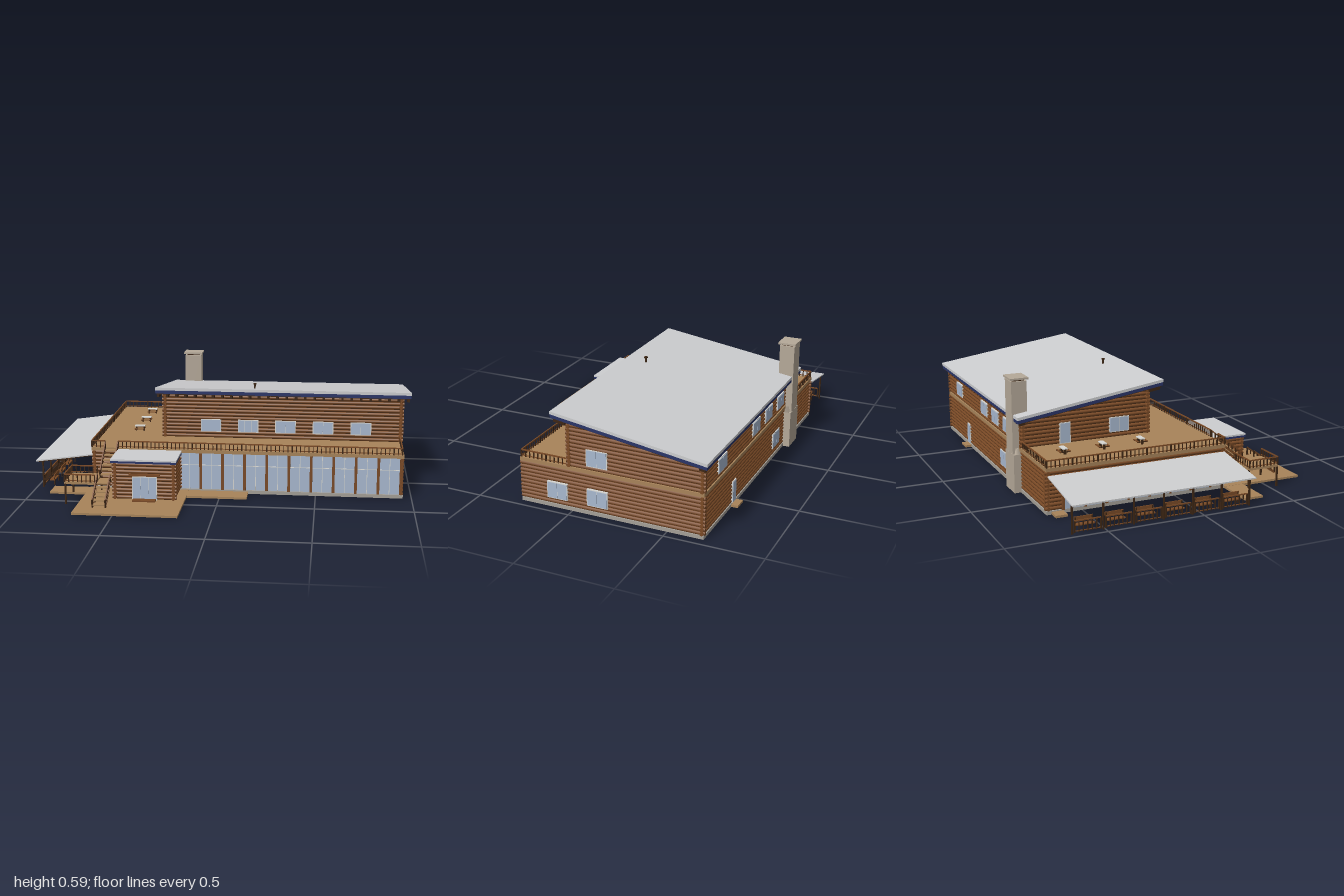
import * as THREE from 'three';

const mat = (name, color) => Object.assign(new THREE.MeshStandardMaterial({ color }), { name });
const LOG = mat('log brown', 0x7a4a26), DARK = mat('dark wood', 0x3d2614), DECK = mat('deck tan', 0xa8845a),
  GLASS = mat('window glass', 0xa9b9d0), ROOF = mat('roof grey', 0xcdced0), BLUE = mat('fascia blue', 0x2a3568),
  STONE = mat('chimney stone', 0xb5a999), FRAME = mat('frame white', 0xd8d8d4), SLAB = mat('foundation grey', 0xa5a098);

function add(parent, name, geo, material) {
  const m = new THREE.Mesh(geo, material);
  m.name = name;
  parent.add(m);
  return m;
}
// box given by its limits
function box(parent, name, material, x0, x1, y0, y1, z0, z1) {
  const m = add(parent, name, new THREE.BoxGeometry(x1 - x0, y1 - y0, z1 - z0), material);
  m.position.set((x0 + x1) / 2, (y0 + y1) / 2, (z0 + z1) / 2);
  return m;
}
// square bar from point a to point b
function bar(parent, name, material, a, b, t) {
  const p = new THREE.Vector3(...a), q = new THREE.Vector3(...b);
  const m = add(parent, name, new THREE.BoxGeometry(t, t, p.distanceTo(q)), material);
  m.position.copy(p).lerp(q, 0.5);
  m.lookAt(q);
  return m;
}
// side profile of [z, y] points extruded from x0 to x1
function prism(parent, name, material, pts, x0, x1) {
  const shape = new THREE.Shape(pts.map(([z, y]) => new THREE.Vector2(-z, y)));
  const geo = new THREE.ExtrudeGeometry(shape, { depth: x1 - x0, bevelEnabled: false });
  geo.rotateY(Math.PI / 2).translate(x0, 0, 0);
  return add(parent, name, geo, material);
}
// stacked round logs; limits(y) returns [from, to] along the axis
function logWall(parent, name, axis, fixed, y0, y1, limits) {
  const g = new THREE.Group();
  g.name = name;
  parent.add(g);
  const n = Math.round((y1 - y0) / 0.02), pitch = (y1 - y0) / n;
  for (let i = 0; i < n; i++) {
    const y = y0 + (i + 0.5) * pitch, [a, b] = limits(y);
    if (b - a < 0.03) continue;
    const geo = new THREE.CylinderGeometry(0.0092, 0.0092, b - a, 10);
    if (axis === 'x') geo.rotateZ(Math.PI / 2); else geo.rotateX(Math.PI / 2);
    const m = add(g, 'log', geo, LOG);
    if (axis === 'x') m.position.set((a + b) / 2, y, fixed); else m.position.set(fixed, y, (a + b) / 2);
  }
}
// framed window or door, facing +z before the turn
function opening(parent, name, x, y, z, turn, w, h, panes = 2) {
  const g = new THREE.Group();
  g.name = name;
  box(g, 'frame', FRAME, -w / 2, w / 2, -h / 2, h / 2, -0.012, 0.012);
  const pw = (w - 0.006) / panes;
  for (let i = 0; i < panes; i++) {
    const a = -w / 2 + 0.003 + i * pw;
    box(g, 'pane', GLASS, a + 0.001, a + pw - 0.001, -h / 2 + 0.004, h / 2 - 0.004, 0.012, 0.014);
  }
  g.position.set(x, y, z);
  g.rotation.y = turn;
  parent.add(g);
}
// railing with balusters; a and b are foot points
function railing(parent, name, a, b, h = 0.036, step = 0.022) {
  const g = new THREE.Group();
  g.name = name;
  parent.add(g);
  const up = (p, d) => [p[0], p[1] + d, p[2]];
  bar(g, 'handrail', LOG, up(a, h), up(b, h), 0.006);
  bar(g, 'lowerRail', LOG, up(a, 0.007), up(b, 0.007), 0.004);
  const n = Math.max(1, Math.round(Math.hypot(b[0] - a[0], b[2] - a[2]) / step));
  for (let i = 0; i <= n; i++) {
    const p = a.map((v, k) => v + (b[k] - v) * i / n), t = i % 6 ? 0.0045 : 0.007;
    box(g, 'baluster', DARK, p[0] - t / 2, p[0] + t / 2, p[1], p[1] + h, p[2] - t / 2, p[2] + t / 2);
  }
}

export function createModel() {
  const root = new THREE.Group();
  root.name = 'logLodge';
  const Q = Math.PI / 2;

  // foundation and ground decks
  box(root, 'foundation', SLAB, -0.69, 0.955, 0, 0.018, -0.685, 0.282);
  box(root, 'entranceDeck', DECK, -0.705, -0.17, 0.002, 0.013, 0.28, 0.72);
  box(root, 'frontDeck', DECK, -0.9, 0.145, 0.001, 0.012, 0.281, 0.385);
  box(root, 'backStep', DECK, 0.53, 0.6, 0.002, 0.014, -0.72, -0.685);
  box(root, 'sideStep', DECK, -0.75, -0.69, 0.002, 0.014, -0.66, -0.6);

  // ground floor
  box(root, 'groundCore', DARK, -0.68, 0.945, 0.018, 0.216, -0.675, 0.266);
  logWall(root, 'leftGroundWall', 'z', 0.946, 0.018, 0.216, () => [-0.69, 0.285]);
  logWall(root, 'rightGroundWall', 'z', -0.68, 0.018, 0.216, () => [-0.69, 0.285]);
  logWall(root, 'backGroundWall', 'x', -0.675, 0.018, 0.216, () => [-0.693, 0.96]);
  logWall(root, 'frontGroundWall', 'x', 0.267, 0.018, 0.216, () => [-0.693, -0.21]);
  box(root, 'upperDeck', DECK, -0.693, 0.955, 0.216, 0.234, -0.686, 0.284);

  // glazed front with posts
  box(root, 'frontGlazing', GLASS, -0.215, 0.94, 0.018, 0.216, 0.266, 0.272);
  box(root, 'frontTransom', FRAME, -0.215, 0.94, 0.148, 0.151, 0.27, 0.274);
  for (let i = 0; i <= 10; i++) {
    const x = -0.225 + i * 0.1167;
    box(root, 'frontPost', LOG, x - 0.007, x + 0.007, 0.012, 0.216, 0.265, 0.281);
    if (i < 10) box(root, 'frontMullion', FRAME, x + 0.0565, x + 0.0595, 0.018, 0.216, 0.27, 0.274);
  }
  // glazed side under the lean-to
  box(root, 'sideGlazing', GLASS, -0.694, -0.688, 0.02, 0.17, -0.6, 0.2);
  for (let i = 0; i <= 7; i++) {
    const z = -0.6 + i * 0.8 / 7;
    box(root, 'sidePost', LOG, -0.699, -0.685, 0.018, 0.18, z - 0.006, z + 0.006);
  }

  // upper floor under the single-pitch roof
  const under = z => 0.477 + 0.151 * z;
  prism(root, 'upperCore', DARK, [[0.01, 0.234], [0.01, under(0.01)], [-0.675, under(-0.675)], [-0.675, 0.234]], -0.335, 0.945);
  const slopeLimits = y => [Math.max(-0.69, (y + 0.006 - 0.477) / 0.151), 0.028];
  logWall(root, 'leftUpperWall', 'z', 0.946, 0.234, 0.478, slopeLimits);
  logWall(root, 'rightUpperWall', 'z', -0.336, 0.234, 0.478, slopeLimits);
  logWall(root, 'frontUpperWall', 'x', 0.011, 0.234, 0.474, () => [-0.352, 0.962]);
  logWall(root, 'backUpperWall', 'x', -0.675, 0.234, 0.374, () => [-0.352, 0.962]);

  // main roof: covering, fascia, soffit and rafters
  const layer = (name, m, top, bottom, zf, zb, x0, x1) => prism(root, name, m,
    [[zf, top + 0.148 * zf], [zf, bottom + 0.148 * zf], [zb, bottom + 0.148 * zb], [zb, top + 0.148 * zb]], x0, x1);
  layer('roofCovering', ROOF, 0.51, 0.495, 0.086, -0.713, -0.38, 0.995);
  layer('roofFascia', BLUE, 0.495, 0.477, 0.085, -0.711, -0.378, 0.993);
  layer('soffit', DARK, 0.477, 0.473, 0.08, -0.706, -0.373, 0.988);
  for (let i = 0; i < 28; i++) {
    const x = -0.365 + i * 0.0498;
    layer('frontRafter', DARK, 0.474, 0.458, 0.073, 0.012, x - 0.006, x + 0.006);
    layer('backRafter', DARK, 0.474, 0.462, -0.67, -0.7, x - 0.006, x + 0.006);
  }
  box(root, 'roofVent', DARK, 0.151, 0.159, 0.5, 0.532, -0.024, -0.016);
  box(root, 'roofVentCap', DARK, 0.147, 0.163, 0.53, 0.537, -0.028, -0.012);

  // windows and doors
  for (let i = 0; i < 5; i++) opening(root, 'upperFrontWindow', -0.082 + i * 0.204, 0.304, 0.011, 0, 0.112, 0.07, i === 1 ? 3 : 2);
  for (const [y, z] of [[0.3, -0.137], [0.092, -0.137], [0.092, 0.08]])
    opening(root, 'leftWindow', 0.946, y, z, Q, 0.112, 0.088);
  for (const x of [0.73, 0.26, 0.07, -0.12]) opening(root, 'upperBackWindow', x, 0.295, -0.675, 2 * Q, 0.11, 0.075);
  opening(root, 'lowerBackWindow', -0.065, 0.1, -0.675, 2 * Q, 0.11, 0.085);
  opening(root, 'backDoor', 0.565, 0.075, -0.675, 2 * Q, 0.05, 0.115, 1);
  opening(root, 'terraceWindow', -0.336, 0.302, -0.15, -Q, 0.11, 0.08);
  opening(root, 'terraceDoor', -0.336, 0.29, -0.45, -Q, 0.06, 0.11, 1);

  // entrance porch
  box(root, 'entranceCore', DARK, -0.53, -0.225, 0.013, 0.21, 0.266, 0.466);
  logWall(root, 'entranceLeftWall', 'z', -0.225, 0.013, 0.208, () => [0.27, 0.484]);
  logWall(root, 'entranceRightWall', 'z', -0.53, 0.013, 0.208, () => [0.27, 0.484]);
  logWall(root, 'entranceFrontWall', 'x', 0.467, 0.013, 0.208, () => [-0.545, -0.21]);
  box(root, 'entranceFascia', BLUE, -0.549, -0.209, 0.208, 0.219, 0.282, 0.487);
  box(root, 'entranceRoof', ROOF, -0.55, -0.208, 0.219, 0.228, 0.282, 0.488);
  opening(root, 'entranceDoor', -0.375, 0.075, 0.468, 0, 0.13, 0.124, 3);
  box(root, 'doorLintel', LOG, -0.455, -0.295, 0.14, 0.152, 0.465, 0.486);
  box(root, 'doorStep', LOG, -0.435, -0.315, 0.012, 0.02, 0.475, 0.517);

  // outdoor stair with a landing halfway
  const flights = [[0.63, 0.013, 0.5, 0.11], [0.43, 0.11, 0.284, 0.226]];
  for (const [z0, y0, z1, y1] of flights) {
    for (let i = 0; i < 6; i++) {
      const z = z0 + (z1 - z0) * (i + 0.5) / 6, y = y0 + (y1 - y0) * (i + 1) / 6;
      box(root, 'stairTread', DECK, -0.615, -0.552, y - 0.006, y, z - 0.014, z + 0.014);
    }
    for (const x of [-0.617, -0.55]) {
      bar(root, 'stringer', LOG, [x, y0, z0], [x, y1, z1], 0.008);
      railing(root, 'stairRailing', [x, y0, z0], [x, y1, z1], 0.04);
    }
  }
  box(root, 'stairLanding', DECK, -0.617, -0.55, 0.1, 0.11, 0.43, 0.5);
  box(root, 'sideLanding', DECK, -0.78, -0.617, 0.106, 0.118, 0.375, 0.545);
  railing(root, 'landingRailing', [-0.778, 0.118, 0.378], [-0.778, 0.118, 0.543], 0.04);
  for (const z of [0.378, 0.543]) {
    railing(root, 'landingRailing', [-0.778, 0.118, z], [-0.62, 0.118, z], 0.04);
    for (const x of [-0.774, -0.622]) box(root, 'landingPost', DARK, x - 0.004, x + 0.004, 0, 0.108, z - 0.004, z + 0.004);
  }

  // terrace railings
  const y = 0.234;
  railing(root, 'frontRailing', [-0.548, y, 0.28], [0.945, y, 0.28]);
  railing(root, 'frontRailing', [-0.69, y, 0.28], [-0.62, y, 0.28]);
  railing(root, 'leftRailing', [0.945, y, 0.28], [0.945, y, 0.03]);
  railing(root, 'rightRailing', [-0.69, y, -0.68], [-0.69, y, 0.28]);
  railing(root, 'backRailing', [-0.69, y, -0.68], [-0.355, y, -0.68]);

  // picnic tables
  for (const z of [-0.52, -0.31, -0.1]) {
    const g = new THREE.Group();
    g.name = 'picnicTable';
    g.position.set(-0.498, y, z);
    root.add(g);
    box(g, 'tableTop', FRAME, -0.028, 0.028, 0.026, 0.031, -0.013, 0.013);
    for (const s of [-1, 1]) {
      box(g, 'bench', LOG, -0.028, 0.028, 0.013, 0.017, s * 0.024 - 0.005, s * 0.024 + 0.005);
      box(g, 'crossBeam', DARK, s * 0.022 - 0.003, s * 0.022 + 0.003, 0.01, 0.014, -0.028, 0.028);
      box(g, 'tableLeg', DARK, s * 0.022 - 0.003, s * 0.022 + 0.003, 0, 0.026, -0.006, 0.006);
    }
  }

  // lean-to roof with posts, fence and benches
  const lean = new THREE.Shape([[-1, 0.144], [-0.69, 0.188], [-0.69, 0.195], [-1, 0.151]].map(p => new THREE.Vector2(...p)));
  add(root, 'leanToRoof', new THREE.ExtrudeGeometry(lean, { depth: 0.957, bevelEnabled: false }), ROOF).position.z = -0.677;
  box(root, 'leanToBeam', DARK, -0.97, -0.96, 0.138, 0.148, -0.67, 0.275);
  for (let i = 0; i <= 6; i++) {
    const z = -0.665 + i * 0.155;
    box(root, 'leanToPost', DARK, -0.969, -0.961, 0, 0.142, z - 0.004, z + 0.004);
    bar(root, 'leanToRafter', DARK, [-0.99, 0.142, z], [-0.695, 0.184, z], 0.006);
    if (i === 6) continue;
    railing(root, 'fencePanel', [-0.965, 0.006, z + 0.012], [-0.965, 0.006, z + 0.143], 0.056);
    box(root, 'benchSeat', LOG, -0.94, -0.912, 0.026, 0.031, z + 0.03, z + 0.125);
    box(root, 'benchBack', LOG, -0.916, -0.911, 0.045, 0.062, z + 0.03, z + 0.125);
    for (const d of [0.035, 0.12]) box(root, 'benchLeg', DARK, -0.917, -0.912, 0, 0.06, z + d - 0.003, z + d + 0.003);
  }

  // chimney
  box(root, 'chimneyBase', STONE, -0.33, -0.2, 0, 0.2, -0.72, -0.67);
  const flare = add(root, 'chimneyShoulder', new THREE.CylinderGeometry(0.0495, 0.065, 0.03, 4, 1, false, Math.PI / 4), STONE);
  flare.scale.set(Math.SQRT2, 1, 0.53);
  flare.position.set(-0.265, 0.215, -0.685);
  box(root, 'chimneyStack', STONE, -0.313, -0.217, 0.2, 0.572, -0.719, -0.638);
  box(root, 'chimneyGap', DARK, -0.303, -0.227, 0.572, 0.58, -0.71, -0.647);
  box(root, 'chimneyCap', STONE, -0.32, -0.21, 0.58, 0.59, -0.726, -0.63);
  return root;
}
